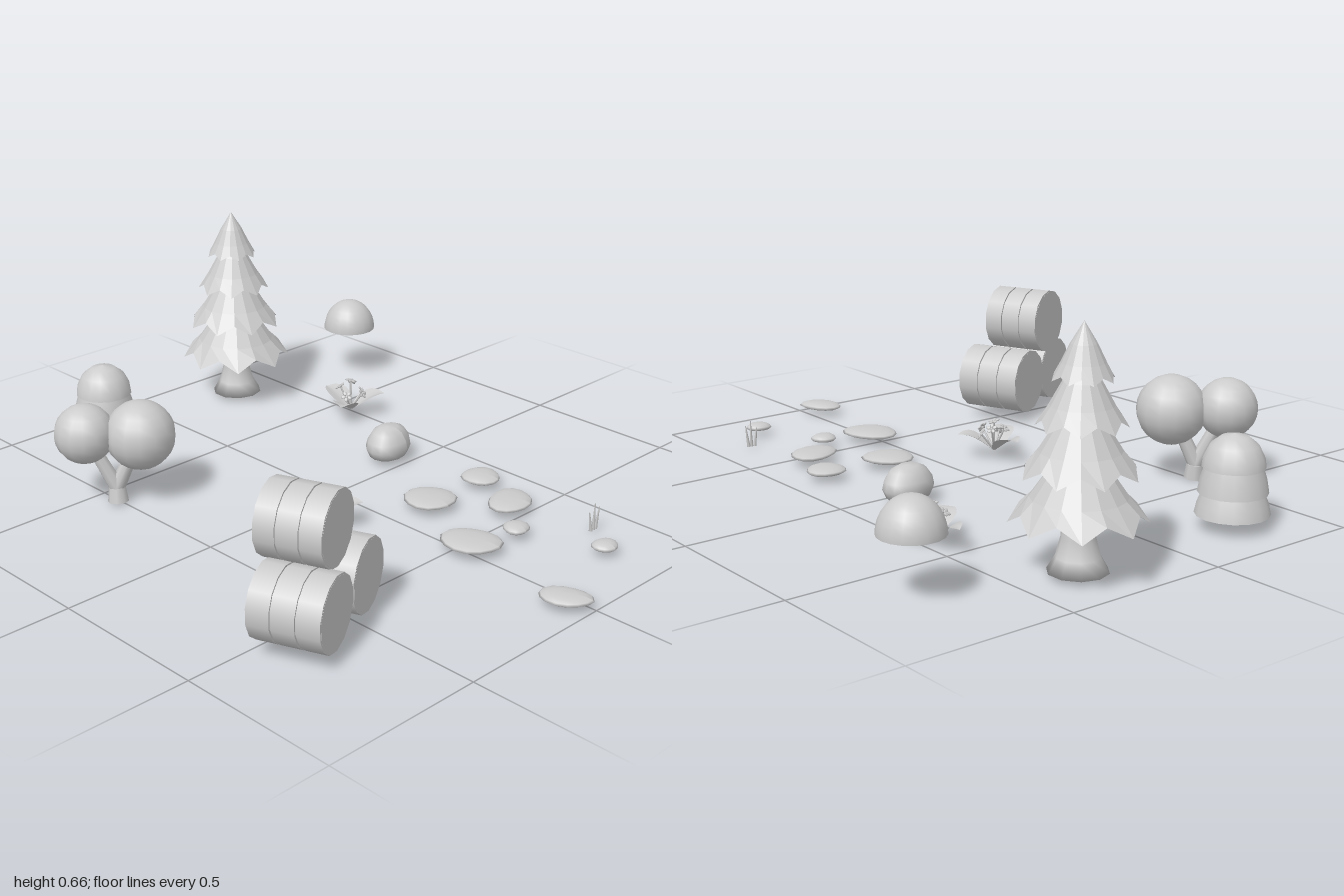
import * as THREE from 'three';

const smooth = new THREE.MeshStandardMaterial({ color: 0xcccccc });
const faceted = new THREE.MeshStandardMaterial({ color: 0xcccccc, flatShading: true });
const open = new THREE.MeshStandardMaterial({ color: 0xcccccc, side: THREE.DoubleSide });
const V = (x, y, z) => new THREE.Vector3(x, y, z);

function add(parent, name, geometry, material, x = 0, y = 0, z = 0) {
  const mesh = new THREE.Mesh(geometry, material);
  mesh.name = name;
  mesh.position.set(x, y, z);
  parent.add(mesh);
  return mesh;
}

function addGroup(parent, name, x = 0, y = 0, z = 0) {
  const g = new THREE.Group();
  g.name = name;
  g.position.set(x, y, z);
  parent.add(g);
  return g;
}

const lathe = (pts, sides) => new THREE.LatheGeometry(pts.map(p => new THREE.Vector2(...p)), sides);

// Move every vertex by a rule
function warp(geometry, rule) {
  const p = geometry.attributes.position, v = new THREE.Vector3();
  for (let i = 0; i < p.count; i++) {
    rule(v.fromBufferAttribute(p, i));
    p.setXYZ(i, v.x, v.y, v.z);
  }
  geometry.computeVertexNormals();
  return geometry;
}

// Tapered round bar between two points
function limb(parent, name, a, b, r0, r1, sides = 8) {
  const d = b.clone().sub(a);
  const m = add(parent, name, new THREE.CylinderGeometry(r1, r0, d.length(), sides), smooth);
  m.position.copy(a).addScaledVector(d, 0.5);
  m.quaternion.setFromUnitVectors(V(0, 1, 0), d.normalize());
  return m;
}

// Skirt of branches: the rim alternates between low points and raised notches
function skirt(rim, r, top) {
  const h = top - rim;
  const g = lathe([[0, rim + h * 0.4], [r, rim], [r * 0.7, rim + h * 0.3],
    [r * 0.42, rim + h * 0.62], [0, top]], 16);
  return warp(g, v => {
    const radius = Math.hypot(v.x, v.z);
    const step = Math.round(Math.atan2(v.x, v.z) / (Math.PI / 8));
    if (radius > r * 0.95 && Math.abs(step) % 2 === 1) {
      v.x *= 0.89; v.z *= 0.89; v.y += 0.035 * (r / 0.18);
    }
  });
}

function pine(parent) {
  const g = addGroup(parent, 'pineTree', 0.325, 0, -0.82);
  add(g, 'pineTrunk', lathe([[0, 0.01], [0.083, 0.01], [0.06, 0.05], [0.047, 0.1], [0.042, 0.16], [0.03, 0.26]], 10), smooth);
  [[0.14, 0.182, 0.37], [0.265, 0.155, 0.48], [0.39, 0.12, 0.58], [0.51, 0.083, 0.66]].forEach(([y, r, top], i) => {
    add(g, 'pineTier' + (i + 1), skirt(y, r, top), faceted, -0.003 * i).rotation.y = 0.1 + i * 0.35;
  });
}

function roundTree(parent) {
  const g = addGroup(parent, 'roundTree');
  const foot = V(-0.508, 0, -0.42), fork = V(-0.506, 0.045, -0.425);
  limb(g, 'roundTrunk', foot, fork, 0.032, 0.026);
  [[-0.445, 0.215, -0.378, 0.107], [-0.57, 0.222, -0.488, 0.092]].forEach(([x, y, z, r]) => {
    limb(g, 'branch', fork, V(x, y, z), 0.024, 0.018);
    add(g, 'crown', new THREE.SphereGeometry(r, 14, 12), smooth, x, y, z);
  });
}

// Stacked open skirts under a dome
function hive(parent) {
  const g = addGroup(parent, 'tieredDome', -0.26, 0, -0.805);
  add(g, 'lowerTier', lathe([[0.106, 0.038], [0.099, 0.07], [0.085, 0.105]], 16), open);
  add(g, 'middleTier', lathe([[0.099, 0.1], [0.092, 0.14], [0.08, 0.178]], 16), open);
  add(g, 'topDome', lathe([[0.089, 0.172], [0.085, 0.2], [0.068, 0.235], [0.038, 0.259], [0, 0.268]], 16), open);
}

// Three slabs on a core
function log(parent, x, y, z, length) {
  const g = addGroup(parent, 'log', x, y, z);
  g.rotation.y = 0.39;
  const r = 0.107, w = length / 3;
  const bar = (name, rad, len, off) => {
    add(g, name, new THREE.CylinderGeometry(rad, rad, len, 14), smooth, 0, 0, off).rotation.x = Math.PI / 2;
  };
  bar('logCore', r * 0.95, length * 0.98, 0);
  for (let i = -1; i <= 1; i++) bar('logSlab', r, w - 0.005, i * w);
}

// Low stone with a flat base and an uneven outline
function stone(parent, name, x, z, rx, rz, h, turn, seed, rough) {
  const profile = [[0, 0], [0.85, 0], [1, 0.28], [0.93, 0.55], [0.7, 0.84], [0.4, 0.97], [0, 1]];
  const geo = warp(lathe(profile, 14), v => {
    const a = Math.atan2(v.z, v.x);
    const k = 1 + rough * (Math.sin(3 * a + seed) + 0.6 * Math.sin(2 * a + seed * 2.3));
    v.set(v.x * rx * k, v.y * h, v.z * rz * k);
  });
  add(parent, name, geo, smooth, x, 0.018, z).rotation.y = turn;
}

// Three rising leaves around a cluster of small flowers
function flowerPlant(parent, x, z) {
  const g = addGroup(parent, 'flowerPlant', x, 0, z);
  for (const turn of [Math.PI, -1.05, 0.93]) {
    const leaf = new THREE.PlaneGeometry(1, 1, 4, 6);
    warp(leaf, v => {
      const t = v.y + 0.5;
      const half = 0.042 * Math.pow(Math.sin(Math.PI * Math.min(1, 0.06 + t * 0.94)), 0.8);
      const side = v.x * 2;
      v.set(side * half, 0.02 + 0.05 * Math.sin(t * 1.7) + 0.012 * Math.abs(side) * half / 0.042, 0.005 + t * 0.112);
    });
    add(g, 'leaf', leaf, open).rotation.y = turn;
  }
  const petal = new THREE.SphereGeometry(0.0085, 6, 4);
  petal.scale(1, 0.35, 0.75);
  [[0.01, 0.115, -0.01], [0.042, 0.075, 0.012], [-0.03, 0.075, 0.012],
    [0.012, 0.085, 0.045], [-0.012, 0.095, -0.035], [0.035, 0.1, -0.03]].forEach(([fx, fy, fz]) => {
    const head = V(fx, fy, fz);
    limb(g, 'stem', V(0, 0.02, 0), head, 0.004, 0.003, 5);
    const f = addGroup(g, 'flower', fx, fy, fz);
    f.quaternion.setFromUnitVectors(V(0, 1, 0), V(fx * 1.5, 0.05, fz * 1.5 + 0.02).normalize());
    add(f, 'flowerCentre', new THREE.SphereGeometry(0.005, 6, 4), smooth);
    for (let i = 0; i < 5; i++) {
      const a = i * Math.PI * 0.4;
      const p = add(f, 'petal', petal, smooth, Math.cos(a) * 0.011, 0.002, Math.sin(a) * 0.011);
      p.rotation.y = -a;
    }
  });
}

export function createModel() {
  const model = new THREE.Group();
  model.name = 'garden';

  pine(model);
  roundTree(model);
  hive(model);

  // Open half dome
  add(model, 'halfDome', new THREE.SphereGeometry(0.09, 18, 8, 0, Math.PI * 2, 0, Math.PI / 2), open, 0.755, 0.168, -0.692)
    .scale.y = 1.13;

  // Log pile
  const pile = addGroup(model, 'logPile');
  log(pile, -0.512, 0.132, 0.508, 0.22);
  log(pile, -0.71, 0.132, 0.597, 0.21);
  log(pile, -0.635, 0.32, 0.535, 0.195);

  flowerPlant(model, -0.178, 0.137);
  flowerPlant(model, 0.472, -0.403);

  // Boulder and stepping stones
  stone(model, 'boulder', 0.307, -0.065, 0.089, 0.068, 0.093, 0.3, 1, 0.01);
  [[0.143, 0.265, 0.08, 0.08, 0], [0.37, 0.272, 0.064, 0.06, 0.3], [0.302, 0.445, 0.084, 0.066, 0.4],
    [0.022, 0.535, 0.078, 0.092, 0.3], [0.18, 0.572, 0.042, 0.04, 0], [0.275, 0.82, 0.041, 0.037, 0],
    [-0.04, 0.925, 0.054, 0.075, 0.45]].forEach(([x, z, rx, rz, turn], i) => {
    stone(model, 'steppingStone', x, z, rx, rz, 0.02, turn, i * 1.7, 0.04);
  });

  // Grass tuft
  const tuft = addGroup(model, 'grassTuft', 0.37, 0, 0.708);
  [[-0.012, -0.018, 0.06], [0, 0.002, 0.085], [0.01, 0.018, 0.07]].forEach(([x0, x1, h], i) => {
    limb(tuft, 'blade', V(x0, 0, 0), V(x1, h, (i - 1) * 0.004), 0.006, 0.0015, 5);
  });
  return model;
}
